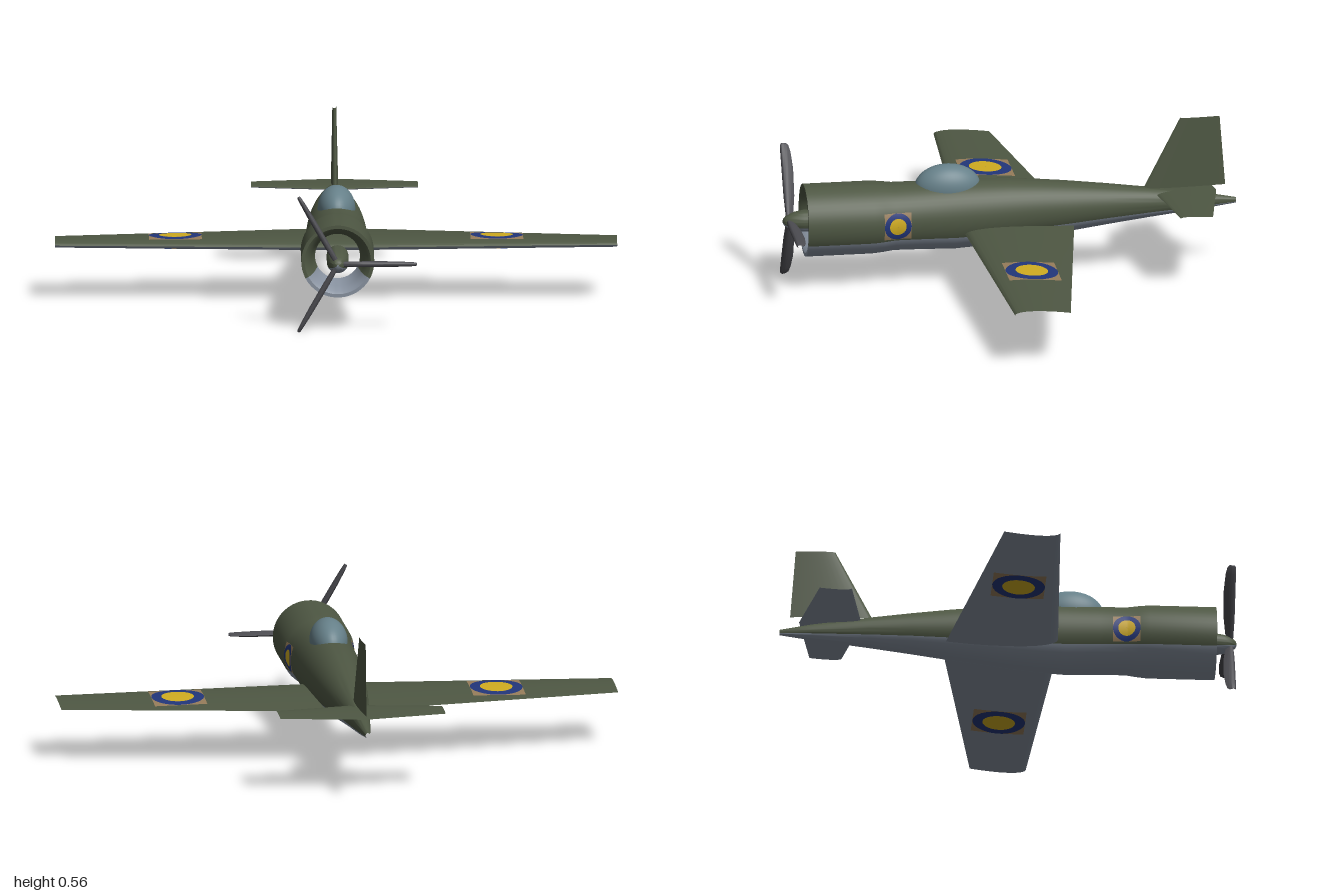
import * as THREE from 'three';
import { toCreasedNormals } from 'three/addons/utils/BufferGeometryUtils.js';

const mat = (name, color, side = THREE.FrontSide) => {
  const m = new THREE.MeshStandardMaterial({ color, side });
  m.name = name;
  return m;
};
const lerp = THREE.MathUtils.lerp;

// Skin over closed rings of points; slot(j) picks the material of each column
function loft(name, rings, slot, mats, capStart, capEnd) {
  const n = rings[0].length;
  const pos = rings.flat(2);
  const lists = mats.map(() => []);
  for (let i = 0; i < rings.length - 1; i++) {
    for (let j = 0; j < n; j++) {
      const a = i * n + j, b = i * n + (j + 1) % n;
      lists[slot(j)].push(a, a + n, b, b, a + n, b + n);
    }
  }
  const cap = (i, flip) => {
    const c = pos.length / 3;
    const mid = [0, 1, 2].map(k => rings[i].reduce((s, p) => s + p[k], 0) / n);
    pos.push(...mid);
    for (let j = 0; j < n; j++) {
      const a = i * n + j, b = i * n + (j + 1) % n;
      lists[slot(j)].push(c, ...(flip ? [b, a] : [a, b]));
    }
  };
  if (capStart) cap(0, true);
  if (capEnd) cap(rings.length - 1, false);
  const g = new THREE.BufferGeometry();
  g.setAttribute('position', new THREE.Float32BufferAttribute(pos, 3));
  g.setIndex(lists.flat());
  let start = 0;
  lists.forEach((l, k) => { g.addGroup(start, l.length, k); start += l.length; });
  const mesh = new THREE.Mesh(toCreasedNormals(g, 0.6), mats);
  mesh.name = name;
  return mesh;
}

// Round body along z from sections [z, half width, half height, centre y], with a lower colour band
const SIDES = 48;
function roundBody(name, sections, mats) {
  const split = THREE.MathUtils.degToRad(-28);
  const belly = Math.round((Math.PI + 2 * split) / (2 * Math.PI) * SIDES);
  const top = SIDES - belly;
  const rings = sections.map(([z, rx, ry, cy]) => Array.from({ length: SIDES }, (_, j) => {
    const a = j < top ? split + j / top * (Math.PI - 2 * split)
      : Math.PI - split + (j - top) / belly * (Math.PI + 2 * split);
    return [rx * Math.cos(a), cy + ry * Math.sin(a), z];
  }));
  return loft(name, rings, j => (j < top ? 0 : 1), mats, true, true);
}

// Half thickness of a wing section at chord fraction s
const foil = s => 5 * (0.2969 * Math.sqrt(s) - 0.126 * s - 0.3516 * s * s + 0.2843 * s ** 3 - 0.1036 * s ** 4);

// Wing-like panel along x from stations [x, leading z, trailing z, thickness]
function panel(name, stations, mats) {
  const n = 14;
  const rings = stations.map(([x, le, te, t]) => Array.from({ length: 2 * n }, (_, j) => {
    const k = j <= n ? j : 2 * n - j;
    const s = (1 - Math.cos(k / n * Math.PI)) / 2;
    return [x, (j <= n ? 1 : -1) * t * foil(s), lerp(le, te, s)];
  }));
  return loft(name, rings, j => (j < n ? 0 : 1), mats, true, true);
}

const mirrored = half => [...half.slice(1).reverse().map(([x, ...r]) => [-x, ...r]), ...half];

const HULL = [
  [0.738, 0.13, 0.13, 0.247], [0.5, 0.13, 0.13, 0.247], [0.46, 0.123, 0.127, 0.247],
  [0.42, 0.116, 0.122, 0.247], [0.32, 0.112, 0.123, 0.246], [0.2, 0.109, 0.126, 0.245],
  [0.1, 0.105, 0.122, 0.247], [0, 0.099, 0.115, 0.25], [-0.1, 0.091, 0.104, 0.253],
  [-0.2, 0.082, 0.093, 0.254], [-0.35, 0.066, 0.074, 0.255], [-0.5, 0.048, 0.055, 0.254],
  [-0.7, 0.025, 0.029, 0.25], [-0.815, 0.008, 0.01, 0.246],
];
const WING = [[0, 0.177, -0.235, 0.042], [1, 0.125, -0.075, 0.026]];
const WING_Y = 0.199;

function wingHeight(x, z) {
  const [, le, te, t] = WING[0].map((v, k) => lerp(v, WING[1][k], Math.abs(x)));
  return t * foil(THREE.MathUtils.clamp((le - z) / (le - te), 0, 1));
}

function hullHalfWidth(y, z) {
  const i = HULL.findIndex((s, k) => z <= s[0] && z >= HULL[k + 1][0]);
  const f = (HULL[i][0] - z) / (HULL[i][0] - HULL[i + 1][0]);
  const [, rx, ry, cy] = HULL[i].map((v, k) => lerp(v, HULL[i + 1][k], f));
  return rx * Math.sqrt(1 - ((y - cy) / ry) ** 2);
}

export function createModel() {
  const model = new THREE.Group();
  model.name = 'airplane';
  const green = mat('olive green', 0x4e5743);
  const grey = mat('underside grey', 0x87919f);
  const dark = mat('propeller grey', 0x4b4b50);
  const glass = mat('canopy glass', 0x668089);
  const tan = mat('marking tan', 0x967c5a, THREE.DoubleSide);
  const blue = mat('marking blue', 0x22367a, THREE.DoubleSide);
  const yellow = mat('marking yellow', 0xd0ac20, THREE.DoubleSide);
  const paint = [green, grey];

  // Fuselage, starting inside the hollow cowling
  const cowl = [[0.62, 0.08], [0.7, 0.095], [0.73, 0.108], [0.738, 0.118]].map(([z, r]) => [z, r, r, 0.247]);
  model.add(roundBody('fuselage', [...cowl, ...HULL], paint));

  // Spinner and its shaft
  const nose = [[0.815, 0.003], [0.811, 0.012], [0.803, 0.02], [0.79, 0.027], [0.77, 0.034], [0.74, 0.039], [0.61, 0.039]];
  model.add(roundBody('spinner', nose.map(([z, r]) => [z, r, r, 0.245]), paint));

  // Three propeller blades
  const propeller = new THREE.Group();
  propeller.name = 'propeller';
  propeller.position.y = 0.247;
  for (let i = 0; i < 3; i++) {
    const blade = panel('propellerBlade', [
      [0.015, 0.802, 0.776, 0.018], [0.09, 0.805, 0.766, 0.021], [0.19, 0.805, 0.763, 0.02],
      [0.25, 0.805, 0.768, 0.016], [0.275, 0.804, 0.774, 0.013], [0.282, 0.8, 0.782, 0.008],
    ], [dark, dark]);
    blade.rotation.z = i * Math.PI * 2 / 3;
    propeller.add(blade);
  }
  model.add(propeller);

  // Canopy bubble
  const canopy = new THREE.Mesh(new THREE.SphereGeometry(1, 40, 16, 0, Math.PI * 2, 0, Math.PI * 0.6), glass);
  canopy.name = 'canopy';
  canopy.scale.set(0.067, 0.082, 0.118);
  canopy.position.set(0, 0.35, 0.222);
  model.add(canopy);

  // Wing and tailplane
  const wing = panel('wing', mirrored(WING), paint);
  wing.position.y = WING_Y;
  const tailplane = panel('tailplane', mirrored([[0, -0.522, -0.745, 0.014], [0.297, -0.575, -0.69, 0.01]]), paint);
  tailplane.position.y = 0.288;
  model.add(wing, tailplane);

  // Upright fin
  const fin = panel('fin', [[0.307, -0.483, -0.777, 0.026], [0.565, -0.615, -0.757, 0.014]], [green, green]);
  fin.rotation.z = Math.PI / 2;
  model.add(fin);

  // Round markings laid onto a surface by place(u, v, lift)
  const marking = (name, r, place) => {
    const group = new THREE.Group();
    group.name = name;
    const layers = [
      ['markingSquare', new THREE.PlaneGeometry(2 * r, 2 * r, 12, 12), tan],
      ['markingRing', new THREE.RingGeometry(0.6 * r, r, 32, 4), blue],
      ['markingCentre', new THREE.RingGeometry(0.001, 0.62 * r, 32, 6), yellow],
    ];
    layers.forEach(([part, g, m], k) => {
      const p = g.attributes.position;
      for (let i = 0; i < p.count; i++) p.setXYZ(i, ...place(p.getX(i), p.getY(i), 0.0015 + 0.0012 * k));
      g.computeVertexNormals();
      const mesh = new THREE.Mesh(g, m);
      mesh.name = part;
      group.add(mesh);
    });
    model.add(group);
  };
  for (const side of [1, -1]) {
    for (const up of [1, -1]) {
      marking(up > 0 ? 'upperWingMarking' : 'lowerWingMarking', 0.094, (u, v, h) => {
        const x = side * 0.572 + u, z = 0.002 - v;
        return [x, WING_Y + up * (wingHeight(x, z) + h), z];
      });
    }
    marking('fuselageMarking', 0.049, (u, v, h) => {
      const y = 0.245 + v, z = 0.416 + u;
      return [side * (hullHalfWidth(y, z) + h), y, z];
    });
  }
  return model;
}
